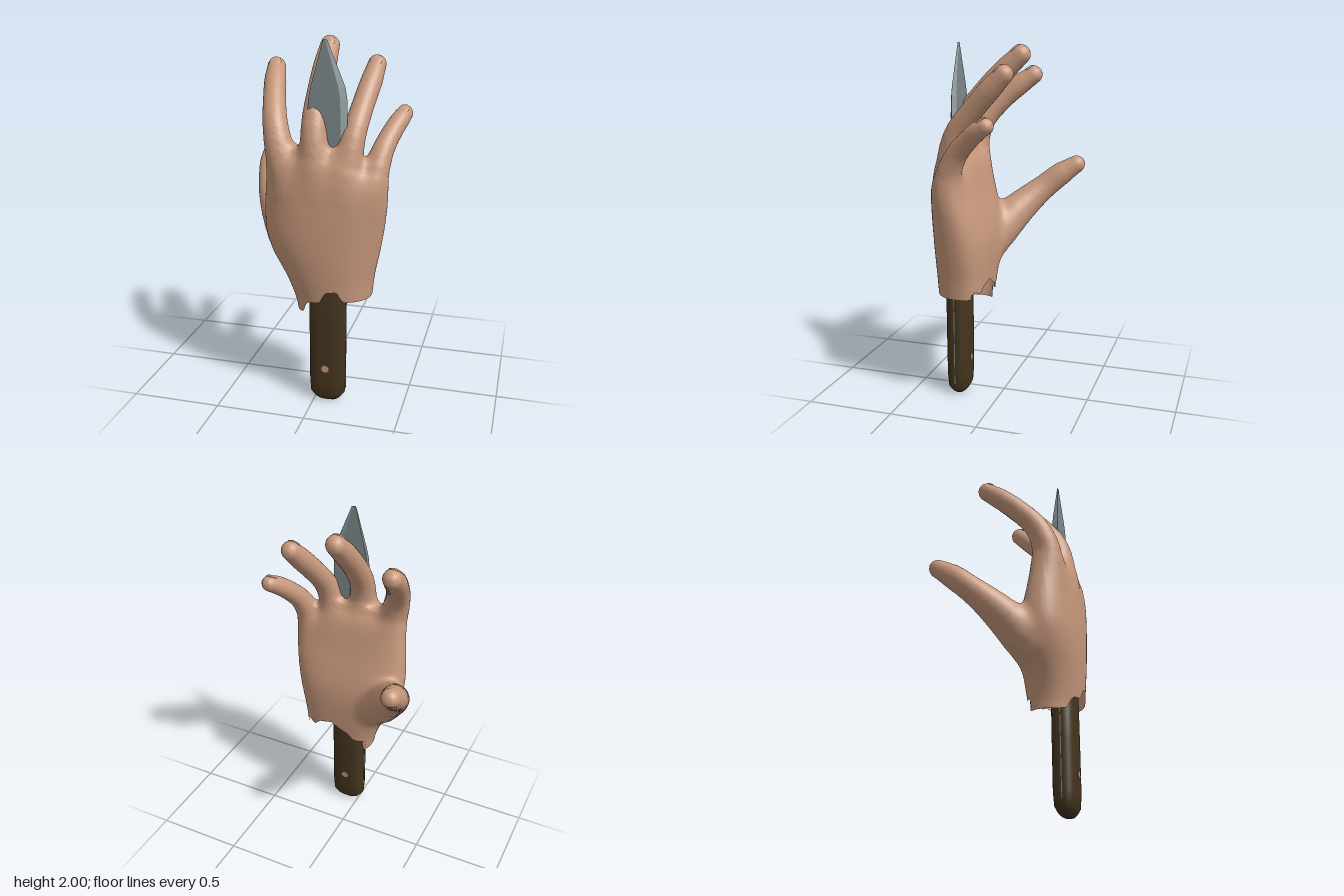
import * as THREE from 'three';

// Piecewise-linear lookup in rows sorted by their first value
function lookup(rows, x, col = 1) {
  const i = rows.findIndex(r => x <= r[0]);
  if (i === 0) return rows[0][col];
  if (i < 0) return rows[rows.length - 1][col];
  const a = rows[i - 1], b = rows[i];
  return a[col] + (b[col] - a[col]) * (x - a[0]) / (b[0] - a[0]);
}

// Palm: y, xMin, xMax, z of the back of the hand, z of the palm side
const PALM = [
  [0.53, -0.108, 0.296, 0.332, 0.065],
  [0.62, -0.130, 0.300, 0.340, 0.058],
  [0.74, -0.182, 0.312, 0.351, 0.048],
  [0.85, -0.242, 0.335, 0.360, 0.042],
  [0.95, -0.284, 0.353, 0.364, 0.045],
  [1.05, -0.290, 0.369, 0.364, 0.065],
  [1.15, -0.284, 0.378, 0.362, 0.092],
  [1.25, -0.275, 0.376, 0.357, 0.114],
  [1.33, -0.265, 0.364, 0.346, 0.130],
  [1.39, -0.250, 0.345, 0.327, 0.150],
  [1.43, -0.210, 0.310, 0.298, 0.180],
  [1.445, -0.180, 0.275, 0.275, 0.205]
];
// Torn wrist edge: x to y, on the back of the hand and on the palm side
const RIM_BACK = [[-0.09, 0.53], [-0.055, 0.54], [-0.03, 0.605], [0.05, 0.62], [0.08, 0.68], [0.14, 0.69], [0.175, 0.63], [0.3, 0.63]];
const RIM_PALM = [[-0.07, 0.6], [-0.03, 0.61], [0, 0.65], [0.06, 0.68], [0.1, 0.71], [0.18, 0.69], [0.22, 0.65], [0.26, 0.67], [0.3, 0.64]];

// Finger bones: x, y, z, radius
const FINGERS = {
  indexFinger: [[-0.15, 1.22, 0.24, 0.07], [-0.188, 1.4, 0.242, 0.077], [-0.227, 1.55, 0.2, 0.067], [-0.262, 1.67, 0.1, 0.061], [-0.288, 1.757, 0, 0.059], [-0.305, 1.815, -0.08, 0.051]],
  middleFinger: [[0.02, 1.22, 0.26, 0.07], [0.005, 1.42, 0.264, 0.075], [-0.005, 1.58, 0.227, 0.068], [-0.008, 1.73, 0.117, 0.063], [-0.007, 1.853, 0, 0.061], [-0.006, 1.937, -0.092, 0.053]],
  ringFinger: [[0.16, 1.2, 0.255, 0.07], [0.177, 1.38, 0.247, 0.073], [0.2, 1.53, 0.203, 0.063], [0.222, 1.66, 0.1, 0.059], [0.243, 1.767, 0, 0.058], [0.256, 1.847, -0.08, 0.05]],
  littleFinger: [[0.285, 1.14, 0.215, 0.065], [0.311, 1.29, 0.215, 0.07], [0.338, 1.425, 0.16, 0.059], [0.372, 1.515, 0.08, 0.053], [0.403, 1.573, 0.01, 0.05], [0.42, 1.6, -0.035, 0.044]],
  thumb: [[-0.07, 0.79, 0.18, 0.09], [-0.175, 0.89, 0.115, 0.113], [-0.262, 1, 0.03, 0.103], [-0.332, 1.09, -0.06, 0.084], [-0.375, 1.165, -0.145, 0.071], [-0.397, 1.232, -0.225, 0.067], [-0.415, 1.293, -0.315, 0.051]]
};

// Smooth bone as [x, y, z, radius] samples
function sampleBone(points, steps = 14) {
  const curve = new THREE.CatmullRomCurve3(points.map(p => new THREE.Vector3(p[0], p[1], p[2])));
  const radii = new THREE.SplineCurve(points.map((p, i) => new THREE.Vector2(i, p[3])));
  return Array.from({ length: steps + 1 }, (_, i) => [...curve.getPoint(i / steps).toArray(), radii.getPoint(i / steps).y]);
}

// Distance to a chain of tapered capsules
function boneDistance(bone, x, y, z) {
  let best = Infinity;
  for (let i = 1; i < bone.length; i++) {
    const a = bone[i - 1], b = bone[i];
    const dx = b[0] - a[0], dy = b[1] - a[1], dz = b[2] - a[2];
    const px = x - a[0], py = y - a[1], pz = z - a[2];
    const t = Math.min(1, Math.max(0, (px * dx + py * dy + pz * dz) / (dx * dx + dy * dy + dz * dz)));
    const qx = px - dx * t, qy = py - dy * t, qz = pz - dz * t;
    best = Math.min(best, Math.sqrt(qx * qx + qy * qy + qz * qz) - a[3] - (b[3] - a[3]) * t);
  }
  return best;
}

// Approximate distance to the rounded palm section [xMin, xMax, zBack, zPalm]
function palmDistance([x0, x1, zb, zp], x, z) {
  const a = (x1 - x0) / 2, b = (zb - zp) / 2, e = 2.44;
  const u = Math.min(1.3, Math.abs(x - (x0 + x1) / 2) / a);
  const v = Math.abs(z - (zb + zp) / 2 + 0.025 * u * u) / b;
  const f = Math.max(1e-3, Math.pow(Math.pow(u, e) + Math.pow(v, e), 1 / e));
  return (f - 1) / Math.hypot(Math.pow(u / f, e - 1) / a, Math.pow(v / f, e - 1) / b);
}

function smoothUnion(a, b, k) {
  const h = Math.max(k - Math.abs(a - b), 0) / k;
  return Math.min(a, b) - h * h * k / 4;
}

// One continuous skin around palm and fingers, torn open at the wrist
function handGeometry() {
  const h = 0.0135, min = [-0.5, 0.5, -0.42], [nx, ny, nz] = [74, 116, 63];
  const stride = [1, nx, nx * ny], field = new Float32Array(nx * ny * nz);
  const bones = Object.values(FINGERS).map(p => sampleBone(p));
  const { smoothstep } = THREE.MathUtils;
  for (let j = 0; j < ny; j++) for (let i = 0; i < nx; i++) {
    const x = min[0] + i * h, y = min[1] + j * h;
    // knuckle line falls toward the little finger
    const py = y + 0.1 * smoothstep(x, 0.1, 0.34) * smoothstep(y, 1.1, 1.42);
    // averaging nearby heights rounds the palm profile
    const section = [1, 2, 3, 4].map(c => [-0.04, -0.02, 0, 0.02, 0.04].reduce((s, o) => s + lookup(PALM, py + o, c) / 5, 0));
    for (let k = 0; k < nz; k++) {
      const z = min[2] + k * h;
      let d = Math.max(palmDistance(section, x, z), py - 1.445);
      for (const bone of bones) d = smoothUnion(d, boneDistance(bone, x, y, z), 0.05);
      field[i + nx * j + stride[2] * k] = d;
    }
  }
  // one vertex per cell crossed by the surface
  const corners = Array.from({ length: 8 }, (_, c) => [c & 1, c >> 1 & 1, c >> 2]);
  const vertexOf = new Map(), pos = [], torn = [], idx = [];
  for (let k = 0; k < nz - 1; k++) for (let j = 0; j < ny - 1; j++) for (let i = 0; i < nx - 1; i++) {
    const id = i + nx * j + stride[2] * k;
    const val = corners.map(c => field[id + c[0] + c[1] * nx + c[2] * stride[2]]);
    const sum = [0, 0, 0];
    let count = 0;
    for (let c = 0; c < 8; c++) for (let axis = 0; axis < 3; axis++) {
      const o = c | 1 << axis;
      if (o === c || (val[c] < 0) === (val[o] < 0)) continue;
      const t = val[c] / (val[c] - val[o]);
      for (let m = 0; m < 3; m++) sum[m] += corners[c][m] + (m === axis ? t : 0);
      count++;
    }
    if (!count) continue;
    const [x, y, z] = [i, j, k].map((g, m) => min[m] + (g + sum[m] / count) * h);
    const rim = lookup(z > 0.1 ? RIM_BACK : RIM_PALM, x);
    vertexOf.set(id, torn.length);
    torn.push(y < rim);
    pos.push(x, Math.max(y, rim), z);
  }
  // one quad per grid edge crossed by the surface
  for (let k = 1; k < nz - 1; k++) for (let j = 1; j < ny - 1; j++) for (let i = 1; i < nx - 1; i++) {
    const id = i + nx * j + stride[2] * k;
    for (let axis = 0; axis < 3; axis++) {
      const inside = field[id] < 0;
      if (inside === field[id + stride[axis]] < 0) continue;
      const u = stride[(axis + 1) % 3], v = stride[(axis + 2) % 3];
      const q = [id - u - v, id - v, id, id - u].map(c => vertexOf.get(c));
      if (q.every(n => torn[n])) continue;
      if (!inside) q.reverse();
      idx.push(q[0], q[1], q[2], q[0], q[2], q[3]);
    }
  }
  return surface(pos, idx);
}

function surface(pos, idx, flat = false) {
  let g = new THREE.BufferGeometry();
  g.setAttribute('position', new THREE.Float32BufferAttribute(pos, 3)).setIndex(idx);
  if (flat) g = g.toNonIndexed();
  g.computeVertexNormals();
  return g;
}

// Closed solid from stacked rings of [x, z] points, counter-clockwise from above
function stack(rows, flat) {
  const n = rows[0].ring.length, last = (rows.length - 1) * n, idx = [];
  const pos = rows.flatMap(({ y, ring }) => ring.flatMap(([x, z]) => [x, y, z]));
  for (let i = 0; i < last; i += n) for (let j = 0; j < n; j++) {
    const a = i + j, b = i + (j + 1) % n;
    idx.push(a, b, b + n, a, b + n, a + n);
  }
  for (let j = 1; j < n - 1; j++) idx.push(0, j + 1, j, last, last + j, last + j + 1);
  return surface(pos, idx, flat);
}

export function createModel() {
  const paint = (name, color, side = THREE.FrontSide) => new THREE.MeshStandardMaterial({ name, color, side });
  const skin = paint('skin', 0xc8997d, THREE.DoubleSide), wood = paint('darkWood', 0x44341e);
  const steel = paint('steel', 0x7c8789), edgeSteel = paint('groundEdge', 0x98a3a5), copper = paint('rivetCopper', 0xbf9578);
  const model = new THREE.Group();
  model.name = 'handWithKnife';
  const add = (name, geometry, material) => {
    const mesh = new THREE.Mesh(geometry, material);
    mesh.name = name;
    model.add(mesh);
    return mesh;
  };

  // Hand, with shallow nails almost flush with the last joints
  add('palmAndFingers', handGeometry(), skin);
  for (const name of ['indexFinger', 'middleFinger', 'ringFinger', 'littleFinger']) {
    const [a, b] = FINGERS[name].slice(-2).map(p => new THREE.Vector3(p[0], p[1], p[2]));
    const r = FINGERS[name].at(-1)[3], d = b.clone().sub(a).normalize();
    const side = new THREE.Vector3(1, 0, 0).addScaledVector(d, -d.x).normalize();
    const out = d.clone().cross(side).multiplyScalar(-Math.sign(d.z * side.x - d.x * side.z) || 1);
    if (out.y < 0) out.negate();
    const nail = add(name + 'Nail', new THREE.SphereGeometry(1, 20, 12), skin);
    nail.scale.set(r * 0.66, r * 0.23, r * 0.8);
    nail.quaternion.setFromRotationMatrix(new THREE.Matrix4().makeBasis(side, out, side.clone().cross(out)));
    nail.position.copy(b).addScaledVector(out, r * 0.82).addScaledVector(d, -r * 0.2);
  }

  // Handle with chamfered butt: y, half width, half depth
  const cx = 0.072, cz = 0.243, soft = v => Math.sign(v) * Math.pow(Math.abs(v), 0.75);
  const handleRows = [[0, 0.055, 0.03], [0.015, 0.072, 0.045], [0.045, 0.096, 0.06], [0.12, 0.101, 0.066], [0.4, 0.102, 0.067], [0.78, 0.102, 0.067]];
  const angles = Array.from({ length: 40 }, (_, j) => j / 20 * Math.PI);
  add('handle', stack(handleRows.map(([y, a, b]) => ({ y, ring: angles.map(t => [cx + a * soft(Math.cos(t)), cz - b * soft(Math.sin(t))]) }))), wood);

  // Tang seam and rivet
  add('tang', new THREE.BoxGeometry(0.206, 0.68, 0.005), steel).position.set(cx, 0.41, cz);
  const rivet = add('rivet', new THREE.CylinderGeometry(0.022, 0.022, 0.138, 10), copper);
  rivet.rotation.x = Math.PI / 2;
  rivet.position.set(cx, 0.21, cz);

  // Blade: y, spine x, bevel x, edge x, half thickness
  const bz = 0.24, bladeRows = [[0.75, -0.035, 0.14, 0.172, 0.018], [1.62, -0.035, 0.14, 0.172, 0.017], [1.71, -0.03, 0.136, 0.17, 0.015], [1.77, -0.018, 0.126, 0.16, 0.013], [2, 0.043, 0.055, 0.066, 0.002]];
  add('blade', stack(bladeRows.map(([y, s, b, , t]) => ({ y, ring: [[b, bz - t], [s, bz - t], [s, bz + t], [b, bz + t]] })), true), steel);
  add('bladeEdge', stack(bladeRows.map(([y, , b, e, t]) => ({ y, ring: [[e, bz], [b, bz - t], [b, bz + t]] })), true), edgeSteel);
  return model;
}
